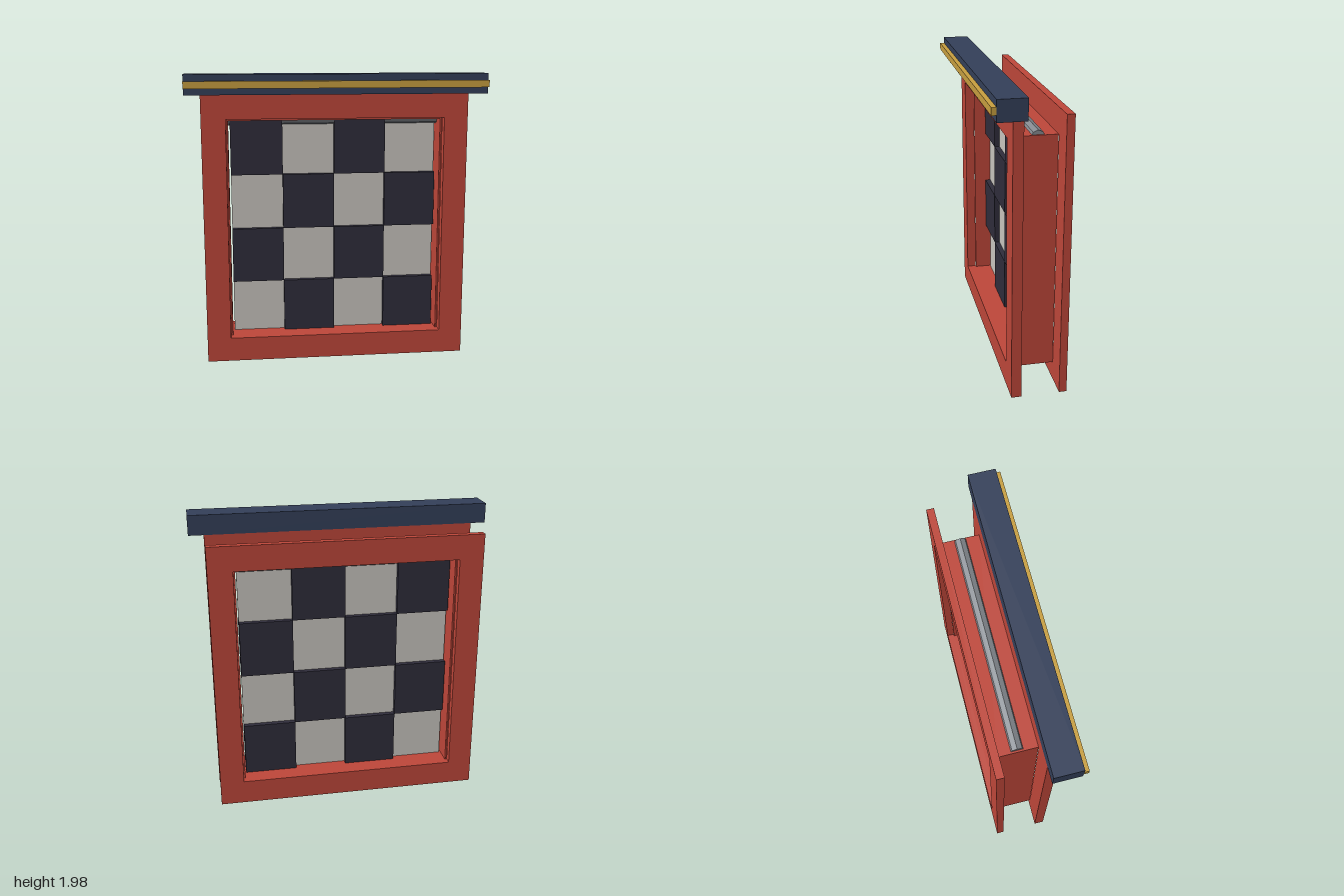
import * as THREE from 'three';

const mat = (name, color) => {
  const m = new THREE.MeshStandardMaterial({ color });
  m.name = name;
  return m;
};

export function createModel() {
  const red = mat('red paint', 0xbf473a);
  const navy = mat('navy paint', 0x34405a);
  const gold = mat('gold trim', 0xc9a040);
  const cream = mat('cream cloth', 0xcac6c0);
  const dark = mat('dark cloth', 0x2f2d3b);
  const steel = mat('grey steel', 0x868b91);

  const model = new THREE.Group();
  model.name = 'checkeredWindow';

  const add = (name, geometry, material, parent = model) => {
    const mesh = new THREE.Mesh(geometry, material);
    mesh.name = name;
    parent.add(mesh);
    return mesh;
  };

  // Box given by its extents
  const box = (name, material, [x0, x1], [y0, y1], [z0, z1], parent) => {
    const mesh = add(name, new THREE.BoxGeometry(x1 - x0, y1 - y0, z1 - z0), material, parent);
    mesh.position.set((x0 + x1) / 2, (y0 + y1) / 2, (z0 + z1) / 2);
    return mesh;
  };

  // Rectangular ring, symmetric in x: outer and inner are [halfWidth, bottom, top]
  const ring = (name, outer, inner, z0, z1) => {
    const corners = ([w, b, t]) => [[-w, b], [w, b], [w, t], [-w, t]].map(p => new THREE.Vector2(...p));
    const shape = new THREE.Shape(corners(outer));
    shape.holes.push(new THREE.Path(corners(inner).reverse()));
    const geometry = new THREE.ExtrudeGeometry(shape, { depth: z1 - z0, bevelEnabled: false });
    geometry.translate(0, 0, z0);
    add(name, geometry, red);
  };

  // Casings on both faces and the jamb between them
  const casing = [0.9, 0, 1.848];
  const opening = [0.738, 0.165, 1.682];
  ring('frontCasing', casing, opening, 0.045, 0.11);
  ring('jamb', [0.735, 0.125, 1.685], [0.724, 0.163, 1.667], -0.205, 0.045);
  ring('backCasing', casing, opening, -0.255, -0.205);

  // Header beam with its trim strip
  box('header', navy, [-1, 1], [1.848, 1.98], [0.045, 0.225]);
  box('headerTrim', gold, [-1, 1], [1.89, 1.937], [0.225, 0.255]);

  // Curtain rod, eight sided with an edge on top
  const midZ = -0.083;
  const rodGeometry = new THREE.CylinderGeometry(0.044, 0.044, 1.446, 8).toNonIndexed();
  rodGeometry.computeVertexNormals();
  rodGeometry.rotateZ(Math.PI / 2);
  add('curtainRod', rodGeometry, steel).position.set(0, 1.67, midZ);

  // Thin sheet with thicker dark squares standing out on both sides
  const curtain = new THREE.Group();
  curtain.name = 'checkeredCurtain';
  model.add(curtain);
  const left = -0.712, bottom = 0.15, w = 0.356, h = 0.379;
  box('curtainSheet', cream, [left, -left], [bottom, bottom + 4 * h], [midZ - 0.01, midZ + 0.01], curtain);
  for (let row = 0; row < 4; row++) {
    for (let col = 0; col < 4; col++) {
      if ((row + col) % 2 === 0) continue;
      const x = left + col * w, y = bottom + row * h;
      box('darkSquare', dark, [x, x + w], [y, y + h], [midZ - 0.046, midZ + 0.046], curtain);
    }
  }

  return model;
}
